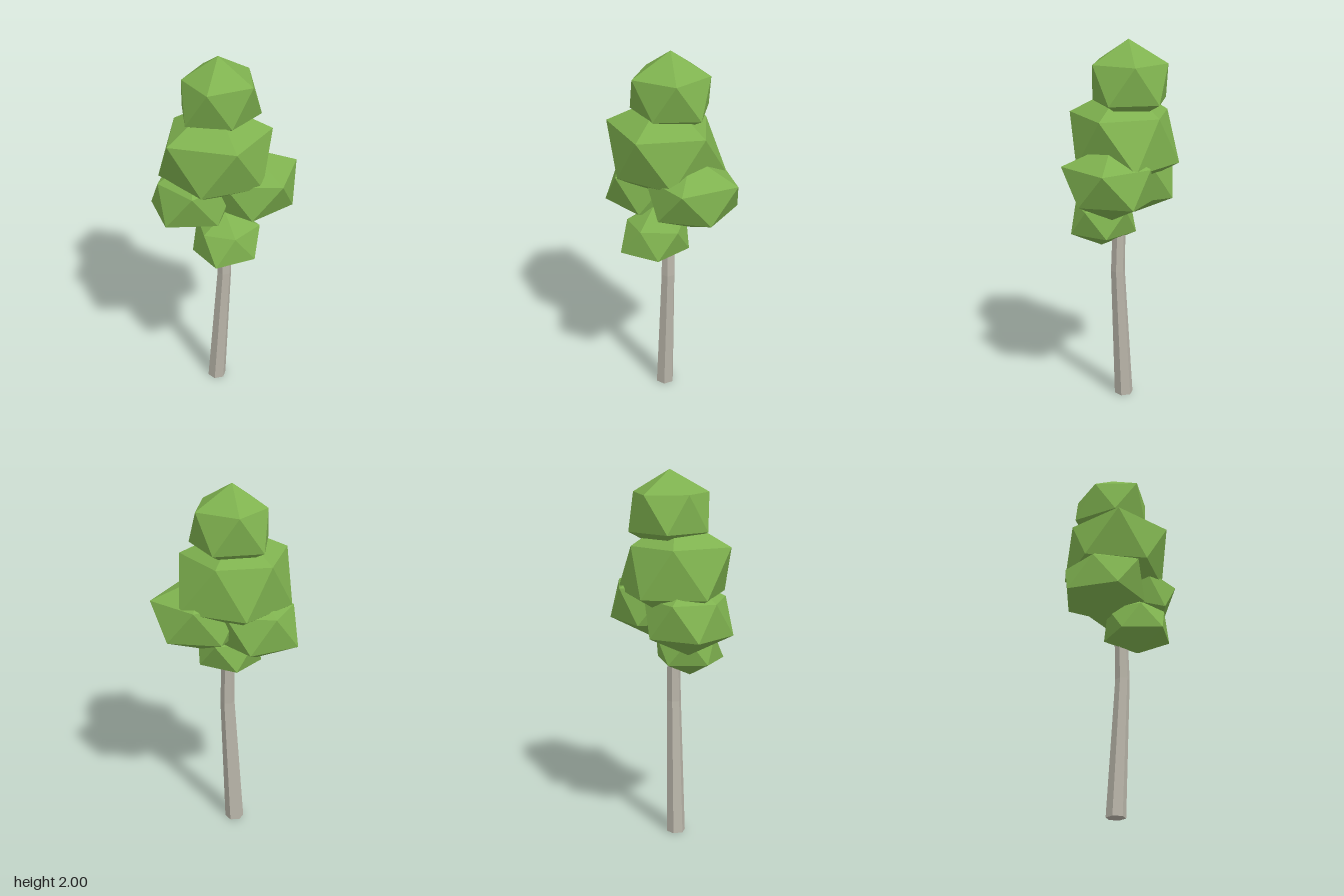
import * as THREE from 'three';

export function createModel() {
  const tree = new THREE.Group();
  tree.name = 'tree';

  const leafGreen = new THREE.MeshStandardMaterial({ color: 0x7fb24f, flatShading: true });
  leafGreen.name = 'leaf green';
  const barkGrey = new THREE.MeshStandardMaterial({ color: 0xbab6aa, flatShading: true });
  barkGrey.name = 'bark grey';

  // Six-sided trunk pieces, sheared so they follow a slightly bent centre line
  const trunk = new THREE.Group();
  trunk.name = 'trunk';
  const joints = [
    { x: -0.02, y: 0, z: 0.004, r: 0.052 },
    { x: 0.024, y: 0.75, z: 0.005, r: 0.039 },
    { x: 0.012, y: 1.25, z: -0.002, r: 0.033 },
  ];
  for (let i = 0; i < joints.length - 1; i++) {
    const a = joints[i], b = joints[i + 1], h = b.y - a.y;
    const geo = new THREE.CylinderGeometry(b.r, a.r, h, 6);
    geo.translate(0, h / 2, 0);
    const shear = new THREE.Matrix4().set(
      1, (b.x - a.x) / h, 0, a.x,
      0, 1, 0, a.y,
      0, (b.z - a.z) / h, 1, a.z,
      0, 0, 0, 1);
    geo.applyMatrix4(shear);
    const piece = new THREE.Mesh(geo, barkGrey);
    piece.name = i === 0 ? 'lowerTrunk' : 'upperTrunk';
    trunk.add(piece);
  }
  tree.add(trunk);

  // Foliage clump: icosahedron standing on a corner, turned and squashed.
  // reach scales the ten side corners outward, going round from the front;
  // even entries are on the upper ring, odd ones on the lower ring.
  function addClump(name, [x, y, z], radius, height, turn, reach) {
    const geo = new THREE.IcosahedronGeometry(1, 0);
    geo.rotateX(-Math.atan((1 + Math.sqrt(5)) / 2));
    const pos = geo.attributes.position;
    for (let i = 0; i < pos.count; i++) {
      const step = Math.round(Math.atan2(pos.getX(i), pos.getZ(i)) / (Math.PI / 5));
      const f = reach[(step + 10) % 10];
      pos.setX(i, pos.getX(i) * f);
      pos.setZ(i, pos.getZ(i) * f);
    }
    geo.rotateY(THREE.MathUtils.degToRad(turn));
    geo.scale(radius, height, radius);
    geo.translate(x, y, z);
    geo.computeVertexNormals();
    const clump = new THREE.Mesh(geo, leafGreen);
    clump.name = name;
    tree.add(clump);
  }

  addClump('topFoliage', [-0.02, 1.782, -0.03], 0.237, 0.218, 0,
    [1.01, 0.9, 0.97, 1.05, 0.97, 1.04, 0.97, 1.05, 0.86, 1]);
  addClump('middleFoliage', [-0.03, 1.485, 0], 0.325, 0.285, 36,
    [1.03, 0.99, 1.02, 1.14, 0.83, 0.98, 0.86, 1.01, 1.05, 0.93]);
  addClump('rightFoliage', [-0.14, 1.245, 0.04], 0.26, 0.205, 15,
    [0.98, 0.95, 1, 1, 1, 1, 0.89, 1.01, 0.81, 1.01]);
  addClump('leftFoliage', [0.14, 1.283, -0.07], 0.265, 0.205, 53,
    [1.11, 0.99, 1.13, 1.04, 0.94, 1, 1, 1, 1, 0.98]);
  addClump('lowFrontFoliage', [0.052, 1.038, 0.103], 0.212, 0.158, 180,
    [1, 1, 0.92, 0.9, 0.75, 1.01, 0.75, 0.96, 0.96, 1]);

  return tree;
}
